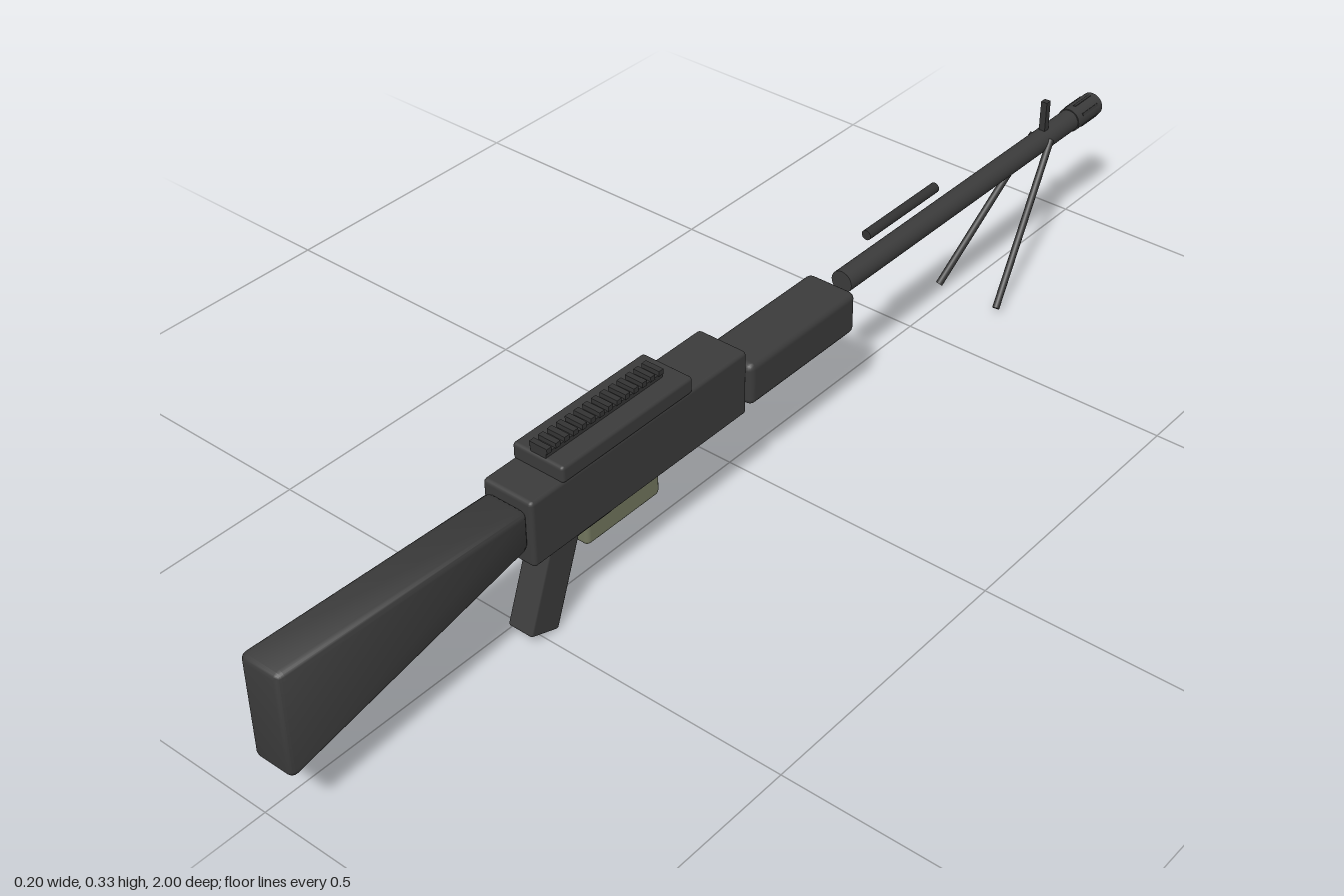
import * as THREE from 'three';
import { RoundedBoxGeometry } from 'three/addons/geometries/RoundedBoxGeometry.js';
import { toCreasedNormals } from 'three/addons/utils/BufferGeometryUtils.js';

export function createModel() {
  const model = new THREE.Group();
  model.name = 'machineGun';

  const gunmetal = new THREE.MeshStandardMaterial({ name: 'gunmetal', color: 0x3b3b3b });
  const darkSteel = new THREE.MeshStandardMaterial({ name: 'darkSteel', color: 0x333333 });
  const olive = new THREE.MeshStandardMaterial({ name: 'olive', color: 0x71755d });

  const CX = 0.033; // centre line of the gun
  const BORE = 0.244; // height of the barrel axis

  function add(name, geometry, material) {
    const mesh = new THREE.Mesh(geometry, material);
    mesh.name = name;
    model.add(mesh);
    return mesh;
  }

  // Box given by its extents on each axis, with optional rounded edges
  function block(name, [x0, x1], [y0, y1], [z0, z1], material, radius = 0) {
    const size = [x1 - x0, y1 - y0, z1 - z0];
    const geometry = radius
      ? new RoundedBoxGeometry(...size, 2, radius)
      : new THREE.BoxGeometry(...size);
    const mesh = add(name, geometry, material);
    mesh.position.set((x0 + x1) / 2, (y0 + y1) / 2, (z0 + z1) / 2);
    return mesh;
  }

  // Cylinder between two points
  function rod(name, a, b, radius, material, sides = 16, radiusEnd = radius) {
    const from = new THREE.Vector3(...a);
    const dir = new THREE.Vector3(...b).sub(from);
    const mesh = add(name, new THREE.CylinderGeometry(radiusEnd, radius, dir.length(), sides), material);
    mesh.position.copy(from).addScaledVector(dir, 0.5);
    mesh.quaternion.setFromUnitVectors(new THREE.Vector3(0, 1, 0), dir.normalize());
    return mesh;
  }

  // Stock: rounded box whose height tapers towards the receiver
  const stock = new RoundedBoxGeometry(0.078, 1, 0.465, 2, 0.012);
  const p = stock.attributes.position;
  for (let i = 0; i < p.count; i++) {
    const t = p.getZ(i) / 0.465 + 0.5;
    const bottom = THREE.MathUtils.lerp(0.208, 0.11, t);
    const top = THREE.MathUtils.lerp(0.279, 0.297, t);
    // keep the edge radius constant while the middle is stretched
    const y = p.getY(i);
    const edge = 0.5 - Math.abs(y);
    p.setY(i, y > 0 ? top - edge : bottom + edge);
  }
  stock.deleteAttribute('normal');
  add('stock', toCreasedNormals(stock, 0.7), gunmetal).position.set(0.034, 0, 0.7675);

  // Receiver, feed cover and handguard
  block('receiver', [-0.014, 0.081], [0.177, 0.295], [0.057, 0.537], gunmetal, 0.007);
  block('feedCover', [-0.015, 0.083], [0.291, 0.321], [0.187, 0.473], gunmetal, 0.006);
  block('handguard', [-0.014, 0.081], [0.18, 0.258], [-0.222, 0.047], gunmetal, 0.012);

  // Toothed top rail
  block('railBase', [0.019, 0.049], [0.319, 0.329], [0.217, 0.47], darkSteel);
  const teeth = 14;
  for (let i = 0; i < teeth; i++) {
    const z = 0.217 + (i * 0.243) / (teeth - 1);
    block('railTooth', [0.017, 0.051], [0.328, 0.337], [z, z + 0.01], darkSteel);
  }

  // Ammunition box
  block('ammoBox', [-0.102, 0.01], [0.059, 0.217], [0.182, 0.352], olive, 0.009);

  // Slanted pistol grip
  const grip = add('pistolGrip', new RoundedBoxGeometry(0.048, 0.2, 0.062, 1, 0.004), gunmetal);
  grip.position.set(CX, 0.109, 0.466);
  grip.rotation.x = -0.35;

  // Trigger and guard
  block('triggerGuardBottom', [0.024, 0.042], [0.134, 0.139], [0.332, 0.44], darkSteel);
  block('triggerGuardFront', [0.024, 0.042], [0.134, 0.18], [0.332, 0.338], darkSteel);
  rod('trigger', [CX, 0.182, 0.392], [CX, 0.153, 0.378], 0.005, darkSteel, 8);

  // Barrel with flash hider
  rod('barrel', [CX, BORE, -0.246], [CX, BORE, -0.99], 0.02, gunmetal, 24);
  rod('flashHider', [CX, BORE, -0.922], [CX, BORE, -1], 0.022, gunmetal, 24);
  for (let i = 0; i < 6; i++) {
    const a = (i / 6) * Math.PI * 2;
    const slot = add('flashHiderSlot', new THREE.BoxGeometry(0.005, 0.004, 0.05), darkSteel);
    slot.position.set(CX + Math.sin(a) * 0.021, BORE + Math.cos(a) * 0.021, -0.963);
    slot.rotation.z = -a;
  }

  // Carrying handle and front sight
  rod('carryHandle', [CX, 0.302, -0.31], [CX, 0.302, -0.502], 0.009, darkSteel);
  block('frontSight', [CX - 0.006, CX + 0.006], [0.25, 0.32], [-0.844, -0.832], darkSteel);

  // Bipod
  for (const side of [-1, 1]) {
    rod('bipodLeg', [CX + side * 0.018, 0.25, -0.835], [CX + side * 0.061, 0.018, -0.626], 0.0065, darkSteel, 10);
  }

  return model;
}
